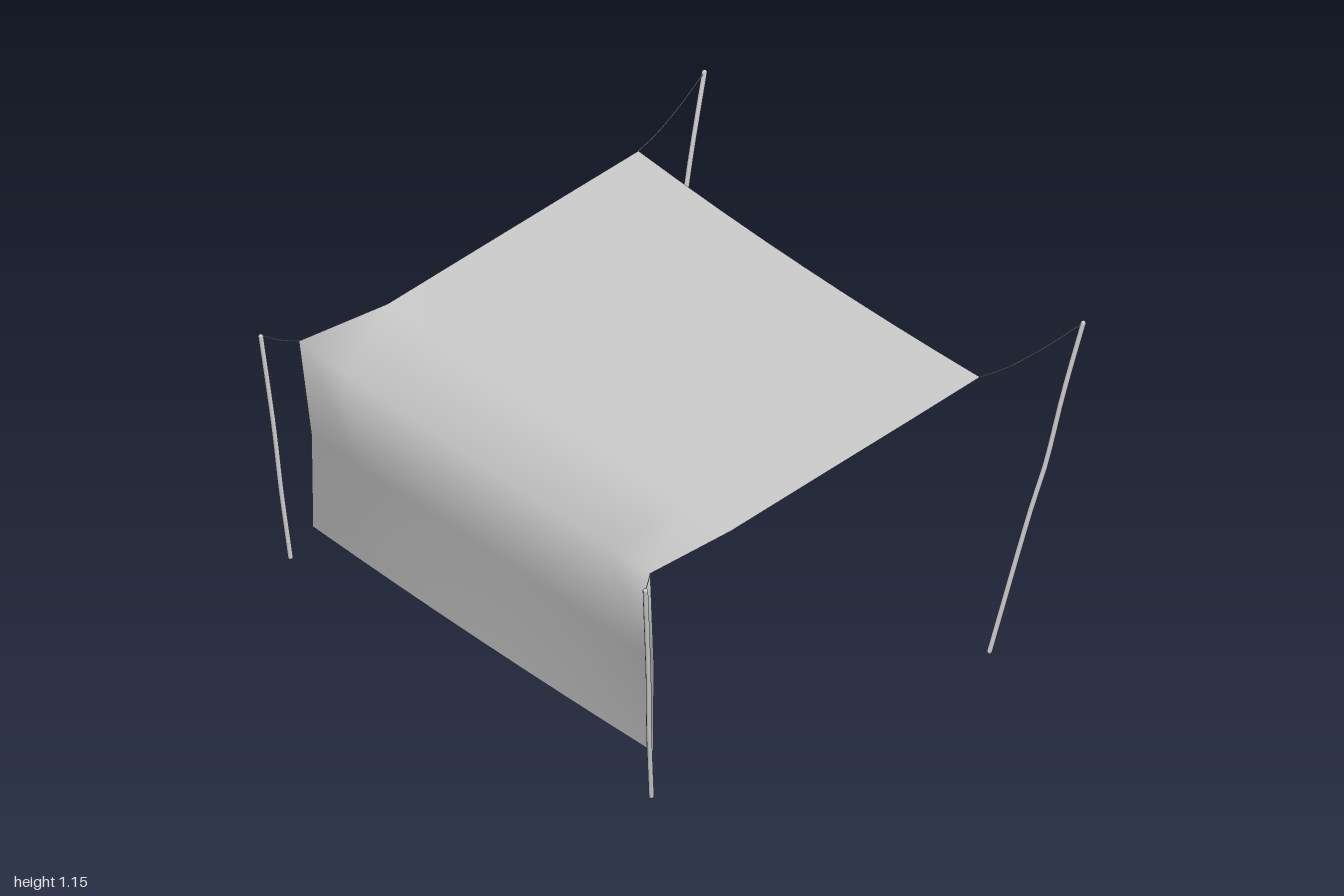
import * as THREE from 'three';

const grey = new THREE.MeshStandardMaterial({ color: 0xcccccc });
const cloth = new THREE.MeshStandardMaterial({ color: 0xcccccc, side: THREE.DoubleSide });

// Tarp rows from roof edge over the ridge and down the wall:
// [edge x, edge y, half width, x shift at middle, y shift at middle]
const ROWS = [
  [0.472, 1.01, 0.882, -0.017, -0.005],
  [0.23, 0.94, 0.884, 0, 0],
  [-0.1, 0.845, 0.885, 0, 0],
  [-0.4, 0.758, 0.886, 0, 0],
  [-0.695, 0.712, 0.907, 0.024, -0.028],
  [-0.667, 0.41, 0.884, 0.003, 0],
  [-0.665, 0.115, 0.88, -0.012, 0],
];

function tarpGeometry(cols = 8) {
  const geo = new THREE.PlaneGeometry(1, 1, cols, ROWS.length - 1);
  const pos = geo.attributes.position;
  ROWS.forEach(([x, y, w, dx, dy], r) => {
    for (let c = 0; c <= cols; c++) {
      const t = (c / cols) * 2 - 1;
      const bow = 1 - t * t;
      pos.setXYZ(r * (cols + 1) + c, x + dx * bow, y + dy * bow, -t * w);
    }
  });
  // the rows run from +x to -x, so the columns run from +z to -z
  geo.computeVertexNormals();
  return geo;
}

// Slender branch-like member through a few points, with rounded ends
function rod(name, points, radius, sides) {
  const group = new THREE.Group();
  group.name = name;
  const pts = points.map((p) => new THREE.Vector3(...p));
  const curve = new THREE.CatmullRomCurve3(pts);
  const tube = new THREE.Mesh(new THREE.TubeGeometry(curve, 16, radius, sides), grey);
  tube.name = name + 'Shaft';
  group.add(tube);
  for (const p of [pts[0], pts[pts.length - 1]]) {
    const end = new THREE.Mesh(new THREE.SphereGeometry(radius, sides, 6), grey);
    end.name = name + 'End';
    end.position.copy(p);
    group.add(end);
  }
  return group;
}

export function createModel() {
  const model = new THREE.Group();
  model.name = 'tarpShelter';

  const tarp = new THREE.Mesh(tarpGeometry(), cloth);
  tarp.name = 'tarp';
  model.add(tarp);

  for (const s of [1, -1]) {
    // tall and short poles
    model.add(rod('tallPole', [
      [0.505, 0.115, s * 0.882], [0.62, 0.565, s * 0.927],
      [0.66, 0.7, s * 0.941], [0.71, 0.92, s * 0.958], [0.767, 1.142, s * 0.978],
    ], 0.008, 8));
    model.add(rod('shortPole', [
      [-0.708, 0.008, s * 0.932], [-0.728, 0.22, s * 0.95],
      [-0.742, 0.42, s * 0.967], [-0.77, 0.712, s * 0.993],
    ], 0.008, 8));
    // cords from pole tops to tarp corners
    model.add(rod('tallCord', [
      [0.767, 1.142, s * 0.978], [0.65, 1.075, s * 0.94],
      [0.55, 1.03, s * 0.908], [0.472, 1.01, s * 0.882],
    ], 0.0015, 5));
    model.add(rod('shortCord', [
      [-0.77, 0.715, s * 0.993], [-0.733, 0.708, s * 0.95], [-0.695, 0.712, s * 0.907],
    ], 0.0015, 5));
  }
  return model;
}
